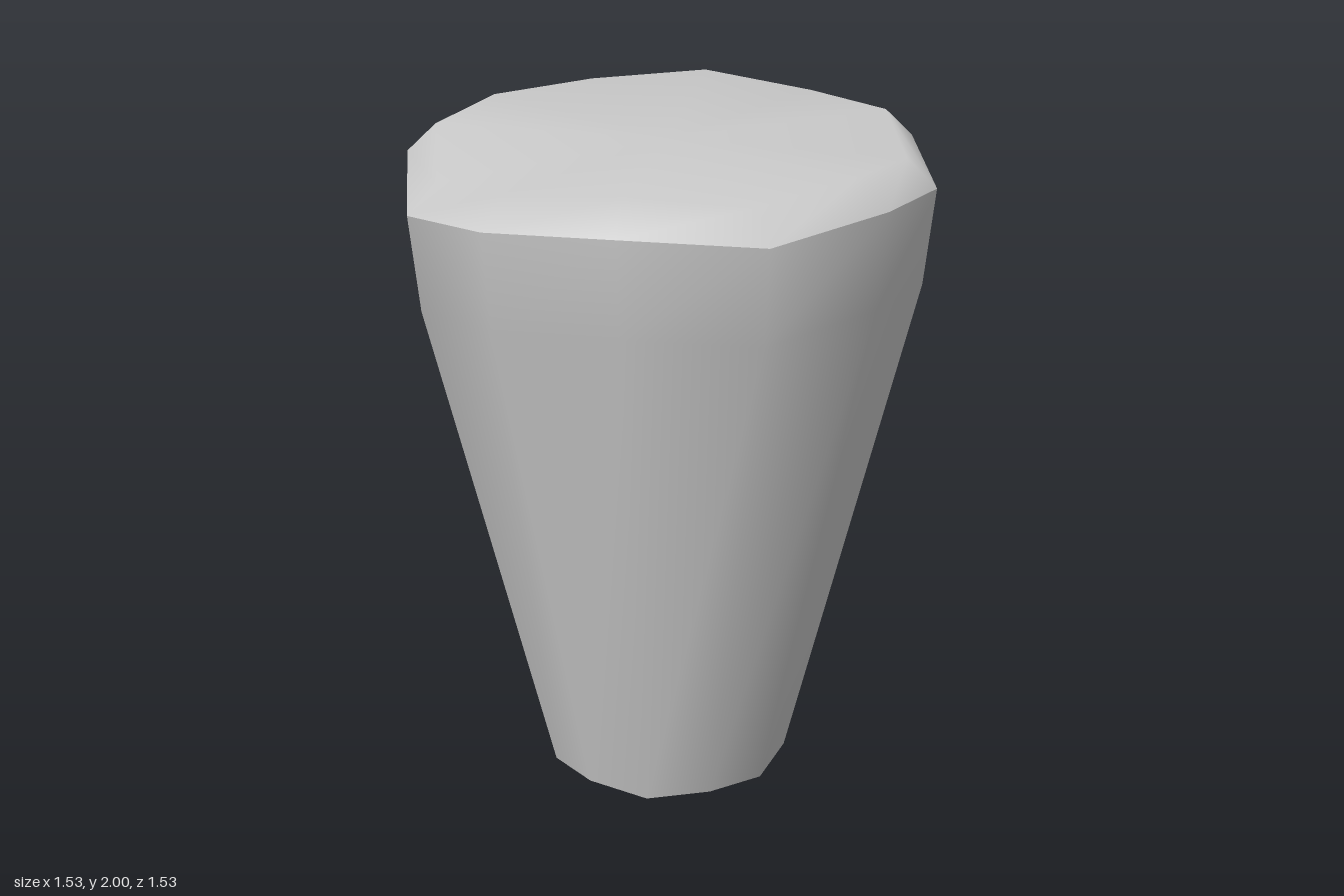
import * as THREE from 'three';

const SIDES = 12;
// Height of each rim corner, starting at the front and turning towards +x
const RIM = [1.88, 1.905, 1.857, 1.9, 1.88, 1.905, 1.885, 1.89, 1.89, 1.82, 1.88, 1.915];

// Smooth skin through twelve-sided rings, each { r, y(i) }, with an optional centre point on top
function skin(rings, centreY) {
  const points = [], index = [];
  for (const { r, y } of rings) {
    for (let i = 0; i < SIDES; i++) {
      const a = (i / SIDES) * Math.PI * 2;
      points.push(r * Math.sin(a), y(i), r * Math.cos(a));
    }
  }
  for (let k = 0; k < rings.length - 1; k++) {
    for (let i = 0; i < SIDES; i++) {
      const a = k * SIDES + i, b = k * SIDES + (i + 1) % SIDES;
      index.push(a, b, b + SIDES, a, b + SIDES, a + SIDES);
    }
  }
  if (centreY !== undefined) {
    const centre = points.length / 3, start = centre - SIDES;
    points.push(0, centreY, 0);
    for (let i = 0; i < SIDES; i++) index.push(start + i, start + (i + 1) % SIDES, centre);
  }
  const geometry = new THREE.BufferGeometry();
  geometry.setAttribute('position', new THREE.Float32BufferAttribute(points, 3));
  geometry.setIndex(index);
  geometry.computeVertexNormals();
  return geometry;
}

export function createModel() {
  const group = new THREE.Group();
  const material = new THREE.MeshStandardMaterial({ color: 0xcccccc, side: THREE.DoubleSide });
  const add = (name, geometry) => {
    const mesh = new THREE.Mesh(geometry, material);
    mesh.name = name;
    group.add(mesh);
  };
  const rim = { r: 0.767, y: i => RIM[i] };

  // Tapered wall, open at the bottom with a slightly zigzag edge
  add('taperedBody', skin([
    { r: 0.37, y: i => (i % 2 ? 0.004 : 0.018) },
    { r: 0.738, y: i => RIM[i] - 0.285 },
    rim,
  ]));

  // Bevelled, uneven top that meets the wall at a sharp rim
  add('topCap', skin([rim, { r: 0.68, y: i => RIM[i] + 0.085 }], 1.965));

  return group;
}
